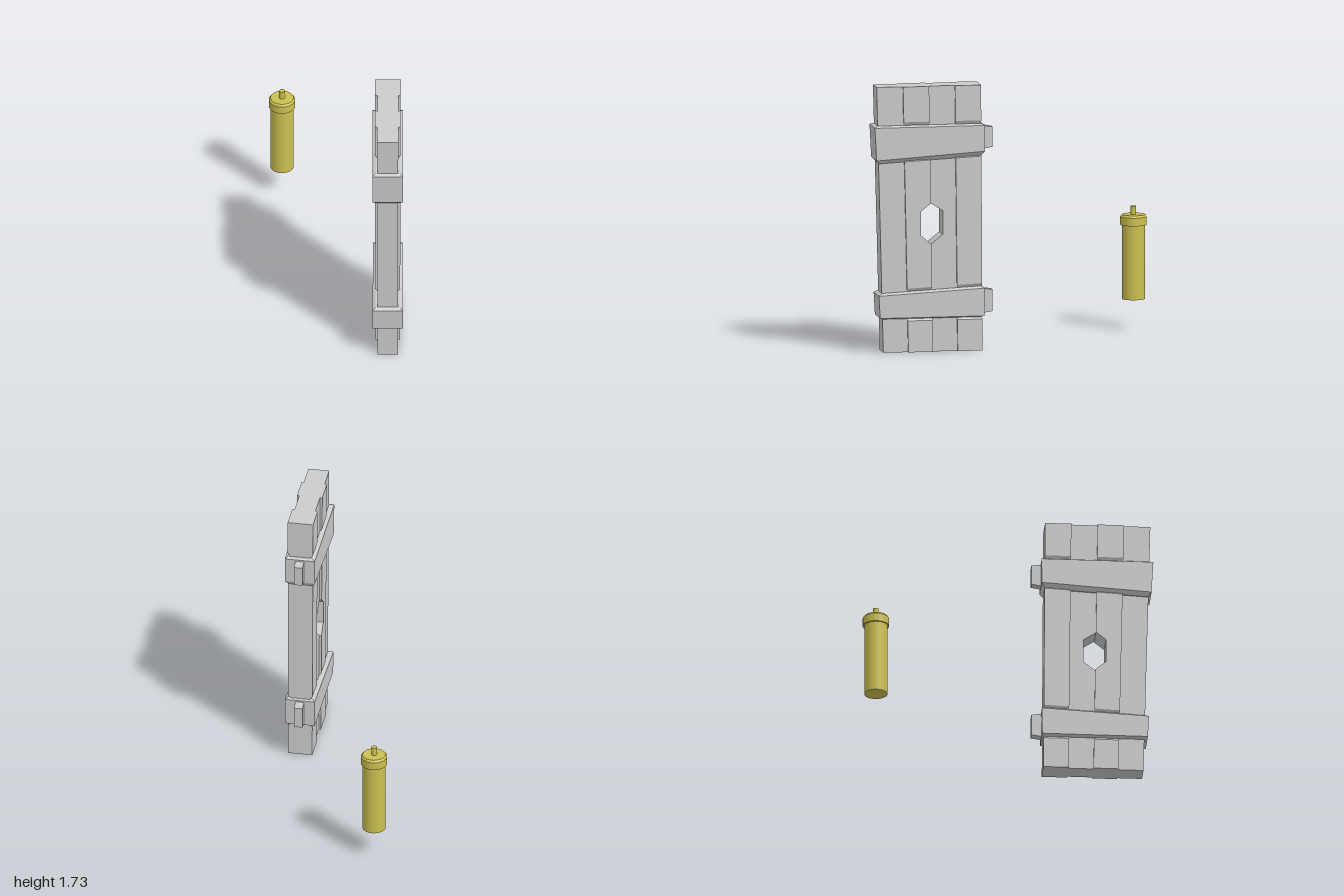
import * as THREE from 'three';

const HEIGHT = 1.73, HOLE_X = -0.014, HOLE_HALF = 0.073;
const lerp = THREE.MathUtils.lerp;
const grey = new THREE.MeshStandardMaterial({ color: 0xcccccc, flatShading: true });
const gold = new THREE.MeshStandardMaterial({ color: 0xccc050 });

// Lofts rectangles stacked upward: each section is [yLeft, yRight, xLeft, xRight, halfDepth]
function loft(name, sections) {
  const pos = [];
  const rings = sections.map(([yl, yr, xl, xr, t]) =>
    [[xl, yl, t], [xr, yr, t], [xr, yr, -t], [xl, yl, -t]]);
  const quad = (a, b, c, d) => pos.push(...a, ...b, ...c, ...a, ...c, ...d);
  for (let s = 0; s < rings.length - 1; s++) {
    for (let i = 0; i < 4; i++) {
      const j = (i + 1) % 4;
      quad(rings[s][i], rings[s][j], rings[s + 1][j], rings[s + 1][i]);
    }
  }
  quad(...rings[0].slice().reverse());
  quad(...rings[rings.length - 1]);
  const geo = new THREE.BufferGeometry();
  geo.setAttribute('position', new THREE.Float32BufferAttribute(pos, 3));
  geo.computeVertexNormals();
  const mesh = new THREE.Mesh(geo, grey);
  mesh.name = name;
  return mesh;
}

// Seam k of five (0 = hinge edge, 4 = free edge); the door widens towards the top
const seam = (k, y) => {
  const f = y / HEIGHT;
  return lerp(lerp(-0.345, -0.335, f), lerp(0.302, 0.346, f), k / 4);
};

// One plank; raised planks sink back to base depth where the bands cross them
function plank(k) {
  const raised = k % 2 === 0;
  const base = 0.068, top = raised ? 0.083 : base;
  // [height, half depth, slanted along the band edge, hole notch]
  const rows = [
    [0, top], [0.205, top], [0.222, base], [0.4, base, true], [0.422, top, true],
    [0.70, top], [0.76, top, false, HOLE_HALF], [0.915, top, false, HOLE_HALF], [0.967, top],
    [1.25, top, true], [1.27, base, true], [1.475, base], [1.5, top], [HEIGHT, top],
  ];
  return loft('plank', rows.map(([y, t, slanted, notch = 0]) => {
    let xl = seam(k, y), xr = seam(k + 1, y);
    if (notch && k === 1) xr = HOLE_X - notch;
    if (notch && k === 2) xl = HOLE_X + notch;
    const slope = slanted ? -0.05 : 0;
    return [y + slope * xl, y + slope * xr, xl, xr, t * lerp(0.95, 1, y / HEIGHT)];
  }));
}

// Pin: smooth body, capped collar and a small stem
function createPin() {
  const pin = new THREE.Group();
  pin.name = 'pin';
  const add = (name, geo, y) => {
    const mesh = new THREE.Mesh(geo, gold);
    mesh.name = name;
    mesh.position.y = y;
    pin.add(mesh);
  };
  add('pinBody', new THREE.CylinderGeometry(0.075, 0.075, 0.5, 32), 0.445);
  add('pinCapSide', new THREE.CylinderGeometry(0.085, 0.085, 0.053, 32, 1, true), 0.7045);
  add('pinCapBevel', new THREE.CylinderGeometry(0.074, 0.085, 0.014, 32), 0.738);
  const under = new THREE.RingGeometry(0.07, 0.085, 32).rotateX(Math.PI / 2);
  add('pinCapUnderside', under, 0.678);
  add('pinStem', new THREE.CylinderGeometry(0.018, 0.018, 0.06, 20), 0.77);
  pin.position.set(-0.915, 0, -0.33);
  return pin;
}

export function createModel() {
  const model = new THREE.Group();
  model.name = 'doorAndPin';

  const door = new THREE.Group();
  door.name = 'door';
  for (let k = 0; k < 4; k++) door.add(plank(k));

  // Cross bands with bevelled, slanted edges
  door.add(loft('lowerBand', [
    [0.22, 0.22, -0.335, 0.31, 0.08],
    [0.228, 0.228, -0.354, 0.328, 0.097],
    [0.408, 0.373, -0.356, 0.336, 0.097],
    [0.42, 0.386, -0.337, 0.317, 0.078],
  ]));
  door.add(loft('upperBand', [
    [1.266, 1.232, -0.333, 0.33, 0.073],
    [1.3, 1.255, -0.357, 0.352, 0.098],
    [1.468, 1.468, -0.358, 0.363, 0.098],
    [1.478, 1.478, -0.34, 0.344, 0.08],
  ]));

  // Hinge tabs on the edge of each band, slightly tapered outward
  for (const [y0, y1] of [[0.235, 0.4], [1.305, 1.46]]) {
    const tab = loft('hingeTab', [
      [y0 + 0.012, y0, -0.42, -0.34, 0.028],
      [y1 - 0.012, y1, -0.42, -0.34, 0.028],
    ]);
    door.add(tab);
  }

  door.position.set(0.652, 0, 0.092);
  door.rotation.y = THREE.MathUtils.degToRad(-40);
  model.add(door, createPin());
  return model;
}
